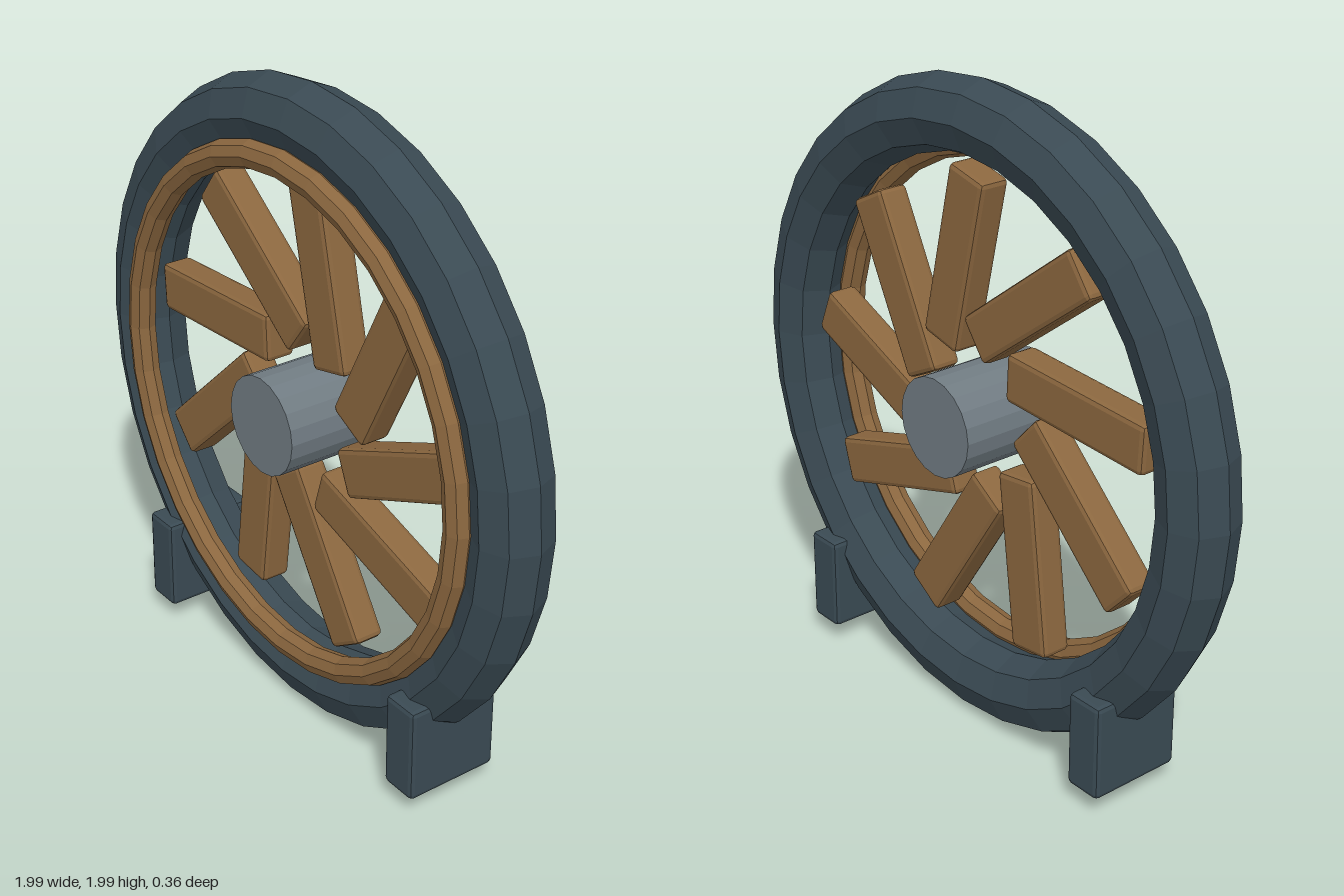
import * as THREE from 'three';
import { RoundedBoxGeometry } from 'three/addons/geometries/RoundedBoxGeometry.js';

const flat = (name, color) => {
  const m = new THREE.MeshStandardMaterial({ color, flatShading: true });
  m.name = name;
  return m;
};

export function createModel() {
  const slate = flat('slate', 0x3a4a53);
  const wood = flat('wood', 0x8b673f);
  const steel = flat('steel', 0x707b82);

  const model = new THREE.Group();
  model.name = 'spokedWheel';
  const add = (name, geometry, material, x, y, z, parent = model) => {
    const mesh = new THREE.Mesh(geometry, material);
    mesh.name = name;
    mesh.position.set(x, y, z);
    parent.add(mesh);
    return mesh;
  };

  // Wheel, centred one unit above the ground
  const wheel = new THREE.Group();
  wheel.name = 'wheel';
  wheel.position.y = 1.003;
  model.add(wheel);

  // Octagonal-section outer rim with a slim trim ring on its front
  add('outerRim', new THREE.TorusGeometry(0.883, 0.114, 8, 32), slate, 0, 0, 0, wheel);
  add('trimRing', new THREE.TorusGeometry(0.78, 0.043, 8, 32), wood, 0, 0, 0.095, wheel);

  // Hub running front to back
  const hub = new THREE.CylinderGeometry(0.153, 0.153, 0.364, 20).rotateX(Math.PI / 2);
  add('hub', hub, steel, 0, 0, 0, wheel);

  // Nine slanted blades with chamfered edges
  const bladeGeometry = new RoundedBoxGeometry(0.56, 0.152, 0.1, 1, 0.016);
  const tilt = THREE.MathUtils.degToRad(23);
  for (let i = 0; i < 9; i++) {
    const a = (i / 9) * Math.PI * 2;
    const blade = add('blade', bladeGeometry, wood, 0.465 * Math.cos(a), 0.465 * Math.sin(a), 0, wheel);
    blade.rotation.z = a + tilt;
  }

  // Support feet clamped to the lower rim
  const footGeometry = new RoundedBoxGeometry(0.125, 0.305, 0.308, 1, 0.015);
  add('leftFoot', footGeometry, slate, 0.623, 0.222, 0);
  add('rightFoot', footGeometry, slate, -0.623, 0.222, 0);

  return model;
}
